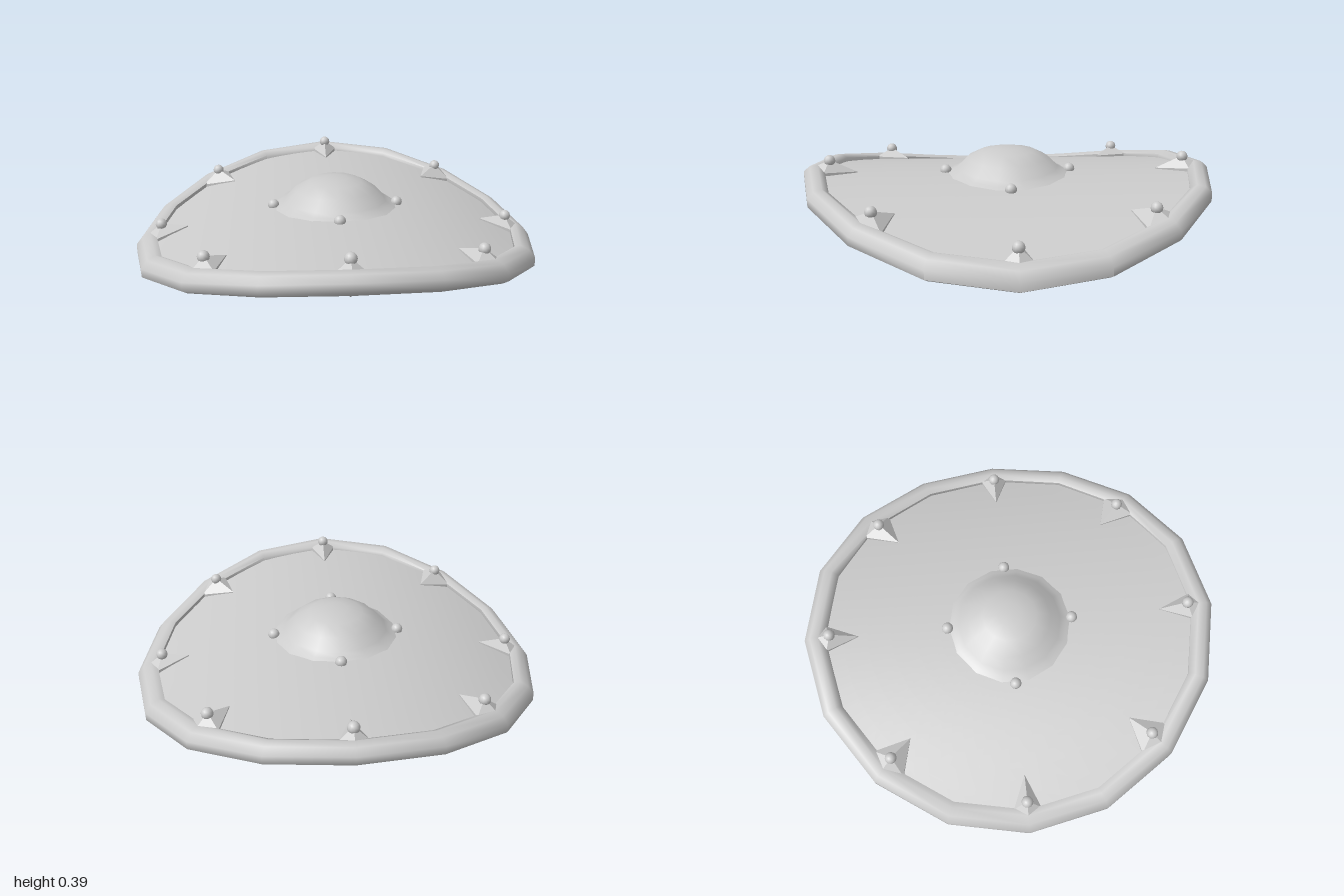
import * as THREE from 'three';
import { mergeVertices, toCreasedNormals } from 'three/addons/utils/BufferGeometryUtils.js';
import { ConvexGeometry } from 'three/addons/geometries/ConvexGeometry.js';

const material = new THREE.MeshStandardMaterial({ color: 0xcccccc });
const V2 = (x, y) => new THREE.Vector2(x, y);

// Height of the shield's curved middle surface: it bends down towards both sides
const surfaceY = (x) => 0.27 - 0.22 * x * x;

// Lay a flat geometry over the curved surface and rebuild its normals
function bend(geometry, crease = 0.8) {
  geometry.deleteAttribute('normal');
  geometry.deleteAttribute('uv');
  const merged = mergeVertices(geometry);
  const p = merged.attributes.position;
  for (let i = 0; i < p.count; i++) p.setY(i, p.getY(i) + surfaceY(p.getX(i)));
  return toCreasedNormals(merged, crease);
}

export function createModel() {
  const group = new THREE.Group();
  const add = (name, geometry, x = 0, y = 0, z = 0) => {
    const mesh = new THREE.Mesh(geometry, material);
    mesh.name = name;
    mesh.position.set(x, y, z);
    group.add(mesh);
    return mesh;
  };
  const rivetGeometry = new THREE.SphereGeometry(0.028, 12, 8);

  // Curved board with some thickness
  const profile = [];
  const rings = 8, boardRadius = 0.93;
  for (let i = 0; i <= rings; i++) profile.push(V2(boardRadius * i / rings, -0.03));
  for (let i = rings; i >= 0; i--) profile.push(V2(boardRadius * i / rings, 0.01));
  add('board', bend(new THREE.LatheGeometry(profile, 64)));

  // Sixteen-sided rounded rim
  const rimProfile = [
    [0.9, -0.03], [0.93, -0.05], [0.97, -0.046], [1, -0.02],
    [1, 0.02], [0.97, 0.046], [0.93, 0.05], [0.9, 0.03], [0.9, -0.03],
  ].map(([r, y]) => V2(r, y));
  add('rim', bend(new THREE.LatheGeometry(rimProfile, 16).scale(0.987, 1, 1), 1.1));

  // Eight pointed clips gripping the rim on both faces, each with a rivet
  for (let i = 0; i < 8; i++) {
    const angle = i * Math.PI / 4;
    const halfWidth = i % 2 ? 0.09 : 0.065;
    const place = (r, y, t) => {
      const x = (r * Math.sin(angle) + t * Math.cos(angle)) * 0.985;
      const z = r * Math.cos(angle) - t * Math.sin(angle);
      return new THREE.Vector3(x, y + surfaceY(x), z);
    };
    const points = [place(0.87, 0.075, 0), place(0.87, -0.1, 0)];
    for (const s of [-1, 1]) {
      points.push(place(0.74, s * 0.025 - 0.01, 0), place(0.98, s * 0.03, 0));
      points.push(place(0.895, s * 0.025, halfWidth), place(0.895, s * 0.025, -halfWidth));
    }
    add('rimClip', new ConvexGeometry(points));
    add('rimRivet', rivetGeometry).position.copy(place(0.872, 0.072, 0));
  }

  // Central dome with a flared flange
  const domeProfile = [
    [0.31, 0.005], [0.28, 0.018], [0.25, 0.035], [0.2, 0.083], [0.13, 0.117], [0.06, 0.129], [0, 0.13],
  ].map(([r, y]) => V2(r, y));
  add('dome', bend(new THREE.LatheGeometry(domeProfile, 14), 1.1));
  for (let i = 0; i < 4; i++) {
    const x = 0.305 * Math.sin(i * Math.PI / 2), z = 0.305 * Math.cos(i * Math.PI / 2);
    add('domeRivet', rivetGeometry, x, surfaceY(x) + 0.018, z);
  }

  // Two bowed straps on the back, with chamfered riveted ends
  const halfLength = 0.43;
  const strap = new THREE.BoxGeometry(0.147, 0.014, 2 * halfLength, 1, 1, 24);
  const p = strap.attributes.position;
  for (let i = 0; i < p.count; i++) {
    const z = Math.abs(p.getZ(i));
    const bow = 0.1 * (1 - THREE.MathUtils.smoothstep(z, 0.08, 0.32));
    p.setY(i, p.getY(i) - bow);
    p.setX(i, p.getX(i) * (1 - 0.5 * THREE.MathUtils.smoothstep(z, 0.38, halfLength)));
  }
  const strapGeometry = toCreasedNormals(strap, 0.7);
  for (const side of [-1, 1]) {
    const x = side * 0.33;
    add('strap', strapGeometry, x, 0.207, 0);
    for (const end of [-1, 1]) add('strapRivet', rivetGeometry, x, 0.2, end * 0.37);
  }

  group.children.forEach((mesh) => { mesh.position.x -= 0.006; });
  return group;
}
